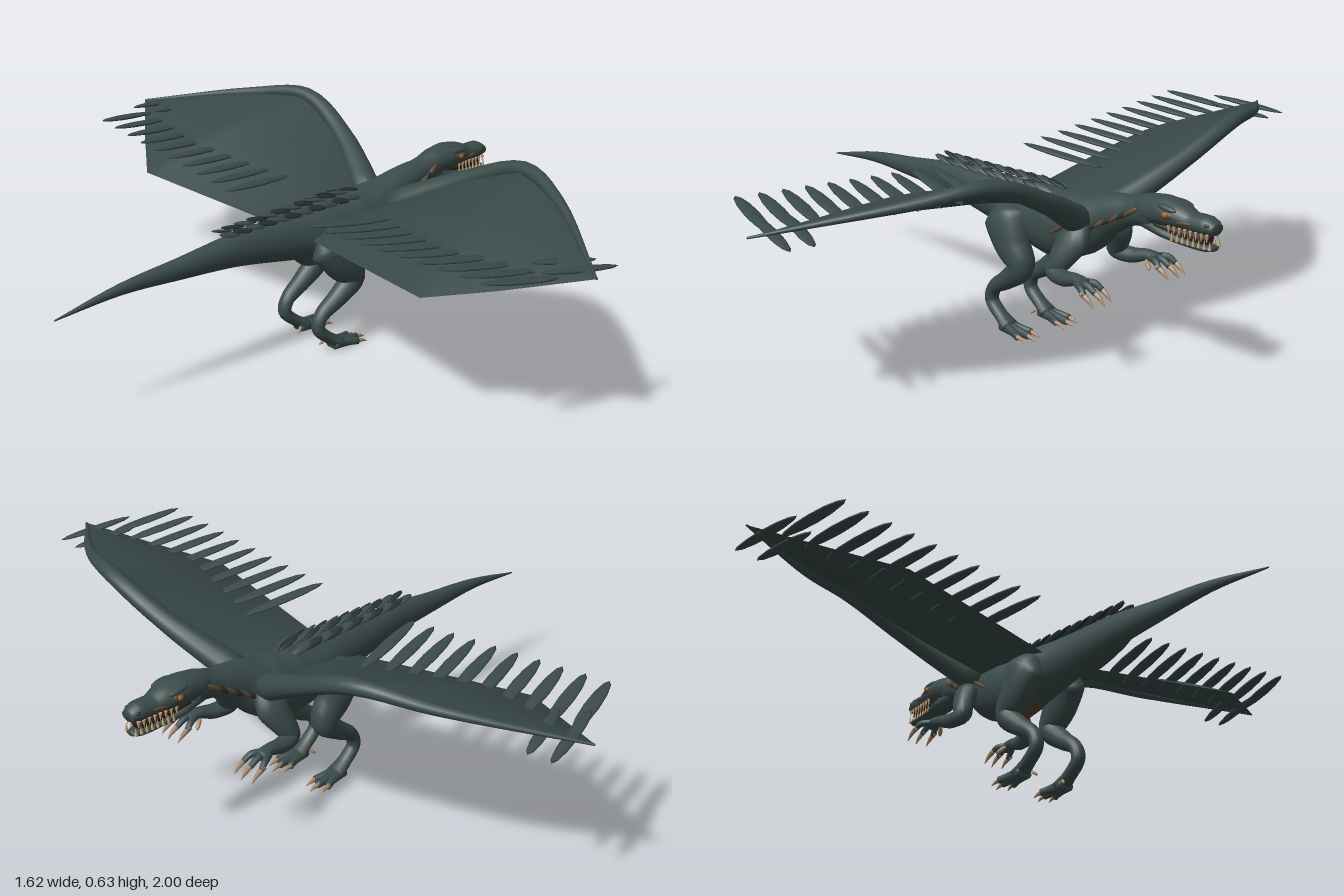
import * as THREE from 'three';

const mat = (name, color, side = THREE.FrontSide) => {
  const m = new THREE.MeshStandardMaterial({ color, side });
  m.name = name;
  return m;
};

// Indexed grid surface; wraps around the second direction when closed
function grid(rows, closed) {
  const n = rows[0].length, pos = rows.flat().flatMap(p => [p.x, p.y, p.z]), idx = [];
  for (let i = 0; i < rows.length - 1; i++)
    for (let j = 0; j < (closed ? n : n - 1); j++) {
      const a = i * n + j, b = i * n + (j + 1) % n, c = a + n, d = b + n;
      idx.push(a, b, c, b, d, c);
    }
  const g = new THREE.BufferGeometry();
  g.setAttribute('position', new THREE.Float32BufferAttribute(pos, 3));
  g.setIndex(idx);
  g.computeVertexNormals();
  return g;
}

// Loft of ellipses through sections [x, y, z, halfHeight, halfWidth], with closed tips
function loft(sections, { steps = 5, sides = 16, side = [0, 0, 1] } = {}) {
  const path = new THREE.CatmullRomCurve3(sections.map(s => new THREE.Vector3(s[0], s[1], s[2])), false, 'centripetal');
  const total = (sections.length - 1) * steps, rows = [], S = new THREE.Vector3(...side);
  for (let i = 0; i <= total; i++) {
    const t = i / total, k = Math.min(Math.floor(i / steps), sections.length - 2), f = i / steps - k;
    const c = path.getPoint(t), tan = path.getTangent(t);
    const up = S.clone().cross(tan).normalize(), sd = tan.clone().cross(up);
    const r = [3, 4].map(q => THREE.MathUtils.lerp(sections[k][q], sections[k + 1][q], f));
    const ring = m => Array.from({ length: sides }, (_, j) => {
      const a = j / sides * Math.PI * 2;
      return c.clone().addScaledVector(up, r[0] * m * Math.cos(a)).addScaledVector(sd, r[1] * m * Math.sin(a));
    });
    if (i === 0) rows.push(ring(0.01));
    rows.push(ring(1));
    if (i === total) rows.push(ring(0.01));
  }
  return grid(rows, true);
}

export function createModel() {
  const root = new THREE.Group();
  root.name = 'wingedReptile';
  const skin = mat('slateSkin', 0x3a4b4a), membraneMat = mat('wingMembrane', 0x384847, THREE.DoubleSide);
  const plume = mat('featherSlate', 0x3a4a49), dark = mat('darkScale', 0x263130), brown = mat('brownMarking', 0x5a4430);
  const claw = mat('clawTan', 0xa98a6c), tooth = mat('toothCream', 0xc9a87c), mouth = mat('mouthDark', 0x30221e), amber = mat('eyeAmber', 0x9a6020);

  const add = (name, geo, m, parent = root) => {
    const mesh = new THREE.Mesh(geo, m);
    mesh.name = name;
    parent.add(mesh);
    return mesh;
  };
  const group = name => {
    const g = new THREE.Group();
    g.name = name;
    root.add(g);
    return g;
  };
  // Leaf: a flattened ellipsoid stretched between two points
  const ball = new THREE.SphereGeometry(1, 12, 8);
  const leaf = (name, a, b, thick, width, m, parent) => {
    const A = new THREE.Vector3(...a), B = new THREE.Vector3(...b), x = B.clone().sub(A);
    const mesh = add(name, ball, m, parent), len = x.length();
    mesh.position.copy(A).add(B).multiplyScalar(0.5);
    mesh.quaternion.setFromUnitVectors(new THREE.Vector3(1, 0, 0), x.normalize());
    mesh.scale.set(len / 2, thick, width);
    return mesh;
  };

  // Tail, trunk and neck
  add('body', loft([
    [-.81, .343, 0, .002, .002], [-.6, .374, 0, .017, .014], [-.4, .381, 0, .033, .025], [-.2, .386, 0, .052, .038],
    [0, .373, 0, .072, .058], [.12, .367, 0, .086, .08], [.25, .36, 0, .104, .09], [.35, .385, 0, .09, .083],
    [.43, .428, 0, .062, .055], [.52, .46, 0, .042, .038], [.6, .475, 0, .043, .04],
  ], { sides: 24 }), skin);
  add('bellyPatch', loft([[.1, .325, 0, .03, .03], [.18, .312, 0, .05, .055], [.26, .308, 0, .057, .06], [.34, .338, 0, .05, .05], [.4, .375, 0, .03, .03]]), brown);

  // Head and jaw
  add('skull', loft([
    [.53, .475, 0, .03, .03], [.58, .48, 0, .042, .042], [.64, .488, 0, .042, .048], [.69, .486, 0, .036, .045],
    [.73, .48, 0, .026, .034], [.78, .48, 0, .027, .032], [.81, .475, 0, .016, .022],
  ], { sides: 20 }), skin);
  add('lowerJaw', loft([[.56, .45, 0, .025, .028], [.64, .433, 0, .018, .036], [.72, .422, 0, .012, .028], [.78, .421, 0, .011, .025], [.805, .423, 0, .007, .016]]), skin);
  add('mouthInterior', loft([[.62, .45, 0, .015, .03], [.7, .443, 0, .017, .024], [.785, .443, 0, .016, .018]]), mouth);

  const spike = new THREE.ConeGeometry(.005, .026, 6);
  for (const s of [1, -1]) {
    const face = group(s > 0 ? 'frontFaceSide' : 'backFaceSide');
    leaf('brow', [.63, .512, s * .034], [.7, .505, s * .036], .009, .011, skin, face);
    leaf('eyeSocket', [.645, .492, s * .042], [.695, .49, s * .041], .012, .008, brown, face);
    leaf('eye', [.66, .492, s * .047], [.68, .492, s * .047], .008, .006, amber, face);
    leaf('cheekMarking', [.69, .476, s * .036], [.75, .482, s * .033], .006, .006, brown, face);
    leaf('nostril', [.785, .488, s * .026], [.8, .486, s * .022], .005, .005, dark, face);
    for (let i = 0; i < 8; i++) {
      const x = .675 + i * .017, z = s * (.034 - i * .0016);
      const up = add('upperTooth', spike, tooth, face);
      up.position.set(x, .45, z);
      up.rotation.x = Math.PI;
      add('lowerTooth', spike, tooth, face).position.set(x + .008, .435, z * .85);
    }
    // Neck plumes
    for (let i = 0; i < 6; i++) {
      const x = .57 - i * .022, y = .485 - i * .012;
      leaf('neckPlume', [x, y, s * (.038 + i * .003)], [x - .055, y - .035, s * (.047 + i * .004)], .008, .007, i % 2 ? dark : brown, face);
    }
    leaf('shoulderMarking', [.37, .41, s * .084], [.29, .355, s * .091], .006, .006, brown, face);
  }

  // Overlapping scales along the back
  const back = group('backScales');
  for (let i = 0; i < 11; i++)
    for (const k of [-1, 0, 1]) {
      const x = .27 - i * .045 - Math.abs(k) * .02, w = .034 - i * .0017;
      const y = .462 - i * .0012 - Math.abs(k) * .011;
      leaf('backScale', [x, y, k * w], [x - .075, y + .016, k * w * 1.15], .005, .012, (i + k) % 2 ? plume : dark, back);
    }

  for (const s of [1, -1]) {
    const label = s > 0 ? 'front' : 'back';
    // Hind leg with three clawed toes
    const leg = group(label + 'SideLeg');
    add('thighAndShin', loft([
      [.08, .385, s * .055, .03, .03], [.1, .35, s * .075, .08, .05], [.135, .285, s * .083, .063, .046], [.175, .225, s * .085, .04, .038],
      [.12, .172, s * .083, .03, .03], [.055, .125, s * .08, .021, .023], [.045, .085, s * .08, .02, .022],
      [.085, .045, s * .08, .018, .023], [.125, .02, s * .08, .018, .03],
    ]), skin, leg);
    for (const k of [-1, 0, 1]) {
      const z = s * .08 + k * .028, e = .2 - Math.abs(k) * .016;
      add('toe', loft([[.1, .02, s * .08 + k * .012, .016, .014], [.15, .017, z * .6 + s * .032, .014, .012], [e, .013, z, .011, .01]], { sides: 10 }), skin, leg);
      add('toeClaw', loft([[e - .006, .014, z, .008, .007], [e + .015, .011, z, .006, .005], [e + .032, .004, z + k * .003, .001, .001]], { sides: 8 }), claw, leg);
    }
    leaf('heelClaw', [.095, .03, s * .06], [.075, .012, s * .05], .005, .005, claw, leg);

    // Arm with three clawed fingers
    const arm = group(label + 'SideArm');
    add('foreArm', loft([
      [.385, .405, s * .06, .035, .03], [.385, .36, s * .09, .05, .034], [.365, .31, s * .115, .038, .03], [.35, .272, s * .128, .026, .027],
      [.4, .265, s * .138, .023, .024], [.45, .277, s * .145, .017, .019], [.49, .275, s * .15, .014, .024],
    ]), skin, arm);
    for (const k of [-1, 0, 1]) {
      const z = s * .152 + k * .035, e = .53 - Math.abs(k) * .008;
      add('finger', loft([[.465, .275, s * .15 + k * .01, .011, .01], [.5, .275, s * .152 + k * .028, .01, .01], [e, .26, z, .008, .008]], { sides: 10 }), skin, arm);
      add('fingerClaw', loft([[e - .012, .266, z, .009, .008], [e + .015, .252, z, .007, .006], [e + .035, .234, z, .001, .001]], { sides: 8 }), claw, arm);
    }
    leaf('thumb', [.46, .27, s * .13], [.49, .248, s * .112], .007, .007, claw, arm);

    // Wing: tapered leading arm, cambered membrane, trailing feathers
    const wing = group(label + 'SideWing');
    const lead = [[.37, .41, .06], [.45, .53, .28], [.468, .612, .48], [.39, .592, .68], [.17, .53, 1]];
    const trail = [[.02, .38, .08], [-.03, .4, .35], [-.08, .42, .63], [.03, .467, .8], [.165, .528, .995]];
    const radius = [.042, .028, .023, .015, .003];
    add('wingArm', loft(lead.map(([x, y, z], i) => [x, y, z * s, radius[i], radius[i] * 1.1]), { side: [1, 0, 0], sides: 14 }), skin, wing);
    const rows = [];
    for (let i = 0; i <= 24; i++) {
      const k = Math.min(Math.floor(i / 6), 3), f = i / 6 - k;
      const at = line => new THREE.Vector3(...line[k]).lerp(new THREE.Vector3(...line[k + 1]), f);
      const a = at(lead), b = at(trail), chord = a.distanceTo(b);
      rows.push(Array.from({ length: 11 }, (_, j) => {
        const p = a.clone().lerp(b, j / 10);
        p.y += .05 * chord * Math.sin(Math.PI * j / 10);
        p.z *= s;
        return p;
      }));
    }
    add('wingMembrane', grid(rows, false), membraneMat, wing);
    for (let i = 0; i < 10; i++) {
      const z = .2 + i * .0745, y = .487 + i * .0062;
      leaf('wingFeather', [-.1, y, s * (z - .015)], [.19 - i * .006, y - .03, s * (z + .04)], .007, .021, plume, wing);
    }
    leaf('tipFeather', [.06, .545, s * .91], [.3, .52, s * .965], .007, .018, plume, wing);
    leaf('tipFeather', [.1, .54, s * .84], [.3, .515, s * .895], .007, .018, plume, wing);
  }
  return root;
}
